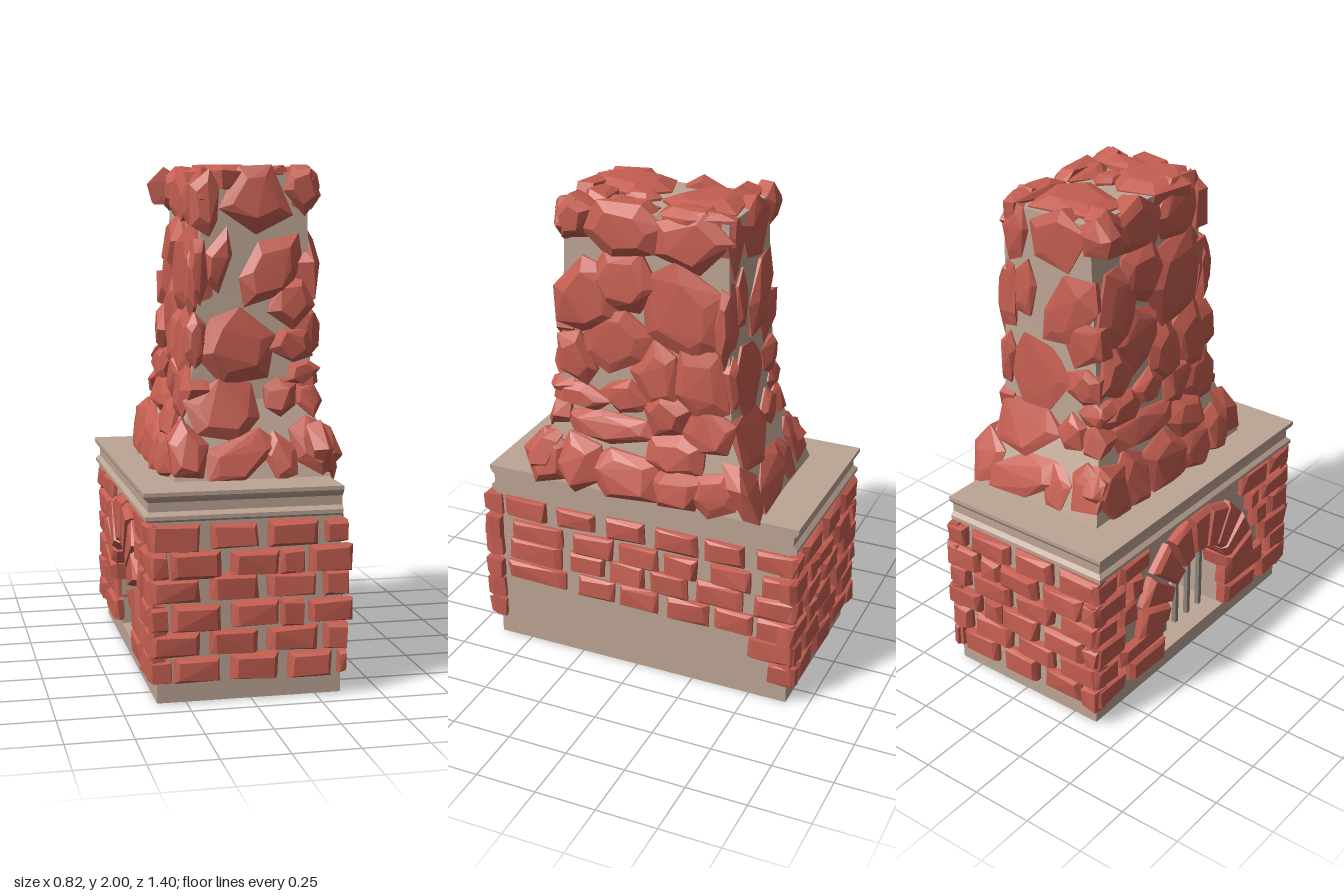
import * as THREE from 'three';
import { mergeGeometries } from 'three/addons/utils/BufferGeometryUtils.js';
import { ConvexGeometry } from 'three/addons/geometries/ConvexGeometry.js';

const mat = (color) => new THREE.MeshStandardMaterial({ color, flatShading: true });
const red = mat(0xc45e51), mortar = mat(0xbda594), iron = mat(0x8d857d);

let seed = 11;
const rnd = () => (seed = (seed * 16807) % 2147483647) / 2147483647;
const jit = (a) => (rnd() - 0.5) * 2 * a;

// Rectangular sections, bottom to top: [y, xMin, xMax, zMin, zMax]
const WALL = [[0, -0.36, 0.35, -0.66, 0.64], [0.7, -0.36, 0.35, -0.66, 0.64]];
const MANTEL = [[0.03, 0.69], [0.045, 0.7], [0.045, 0.715], [0.03, 0.73], [0.03, 0.765], [0.045, 0.78], [0.05, 0.79], [0.05, 0.805]]
  .map(([d, y]) => [y, -0.36 - d, 0.352, -0.64 - d, 0.612 + d]);
const STACK = [[0.8, -0.26, 0.36, -0.52, 0.46], [0.9, -0.235, 0.34, -0.485, 0.425], [1.1, -0.175, 0.305, -0.39, 0.35],
  [1.5, -0.14, 0.3, -0.37, 0.325], [1.96, -0.115, 0.295, -0.36, 0.305]];

// Solid through a stack of rectangular sections
function loft(rings) {
  const pos = [], idx = [];
  rings.forEach(([y, x0, x1, z0, z1]) => pos.push(x0, y, z1, x1, y, z1, x1, y, z0, x0, y, z0));
  for (let i = 0; i < rings.length - 1; i++)
    for (let k = 0; k < 4; k++) {
      const a = i * 4 + k, b = i * 4 + (k + 1) % 4;
      idx.push(a, b, b + 4, a, b + 4, a + 4);
    }
  const t = rings.length * 4 - 4;
  idx.push(0, 2, 1, 0, 3, 2, t, t + 1, t + 2, t, t + 2, t + 3);
  const g = new THREE.BufferGeometry();
  g.setAttribute('position', new THREE.Float32BufferAttribute(pos, 3));
  g.setIndex(idx);
  const flat = g.toNonIndexed();
  flat.computeVertexNormals();
  return flat;
}

// Where one side of a lofted body lies at height y
function sideAt(rings, col, y) {
  let i = 0;
  while (i < rings.length - 2 && y > rings[i + 1][0]) i++;
  const a = rings[i], b = rings[i + 1];
  const t = THREE.MathUtils.clamp((y - a[0]) / (b[0] - a[0]), 0, 1);
  return a[col] + (b[col] - a[col]) * t;
}

// Point at (u, y) on a face, raised by d
function onFace(rings, face, u, y, d) {
  switch (face) {
    case 'front': return new THREE.Vector3(u, y, sideAt(rings, 4, y) + d);
    case 'back': return new THREE.Vector3(u, y, sideAt(rings, 3, y) - d);
    case 'left': return new THREE.Vector3(sideAt(rings, 2, y) + d, y, u);
    case 'right': return new THREE.Vector3(sideAt(rings, 1, y) - d, y, u);
    default: return new THREE.Vector3(u, 1.96 + d, y);
  }
}

// Convex block from an outline; layers are [depth, scale]
function block(rings, face, outline, layers, wobble) {
  const cu = outline.reduce((s, p) => s + p[0], 0) / outline.length;
  const cy = outline.reduce((s, p) => s + p[1], 0) / outline.length;
  const pts = [];
  for (const [d, s] of layers)
    for (const [u, y] of outline) {
      const p = onFace(rings, face, cu + (u - cu) * s + jit(wobble), cy + (y - cy) * s + jit(wobble), d + jit(wobble));
      p.y = Math.min(p.y, 2);
      pts.push(p);
    }
  return new ConvexGeometry(pts);
}

function stone(face, [u, y, w, h, rot = 0], depth) {
  const n = 5 + Math.floor(rnd() * 2), out = [];
  const turn = rnd() * 6.28, c = Math.cos(rot), s = Math.sin(rot);
  for (let i = 0; i < n; i++) {
    const a = turn + (i + jit(0.2)) * 2 * Math.PI / n, r = 0.56 + jit(0.04);
    const p = Math.cos(a) * w * r, q = Math.sin(a) * h * r;
    out.push([u + p * c - q * s, y + p * s + q * c]);
  }
  return block(STACK, face, out, [[-0.06, 0.92], [depth * 0.25, 1], [depth, 0.6]], Math.min(0.01, w * 0.07));
}

function brick(face, u0, u1, y, depth) {
  const h = 0.047, y0 = y - h + jit(0.006), y1 = y + h + jit(0.006);
  return block(WALL, face, [[u0, y0], [u1, y0], [u1, y1], [u0, y1]],
    [[-0.03, 0.97], [depth * 0.45, 1], [depth, 0.8]], 0.006);
}

// Stones as [across, height, width, height, tilt]
const NARROW = [
  [0.1, 1.87, 0.27, 0.25], [-0.11, 1.86, 0.12, 0.24], [0.27, 1.91, 0.14, 0.18], [0.15, 1.6, 0.18, 0.33, -0.6],
  [-0.06, 1.63, 0.1, 0.24, -0.2], [-0.14, 1.6, 0.07, 0.25], [0.23, 1.48, 0.17, 0.2, -0.4], [0, 1.3, 0.28, 0.29],
  [0.23, 1.31, 0.17, 0.14], [-0.15, 1.33, 0.08, 0.2], [0.27, 1.2, 0.13, 0.09, 0.4], [0.18, 1.11, 0.14, 0.13],
  [0.29, 1.1, 0.1, 0.13], [-0.05, 1.07, 0.32, 0.22, 0.1], [0, 0.89, 0.32, 0.16, 0.35], [-0.2, 0.91, 0.15, 0.23],
  [0.16, 0.89, 0.13, 0.17], [0.3, 0.92, 0.17, 0.2, 0.4]];
const WIDE = [
  [0.26, 1.91, 0.14, 0.18], [0.06, 1.89, 0.32, 0.22], [-0.22, 1.88, 0.3, 0.24], [0.21, 1.6, 0.26, 0.32, 0.3],
  [0.06, 1.69, 0.27, 0.24], [-0.18, 1.6, 0.36, 0.38], [-0.35, 1.56, 0.06, 0.3], [0.27, 1.34, 0.18, 0.22],
  [0.1, 1.44, 0.3, 0.24, -0.4], [-0.08, 1.32, 0.2, 0.27], [-0.26, 1.32, 0.25, 0.3], [0.25, 1.18, 0.25, 0.13],
  [-0.13, 1.18, 0.2, 0.2], [-0.3, 1.13, 0.22, 0.2], [0.06, 1.21, 0.2, 0.14], [0.12, 1.07, 0.4, 0.13],
  [0.39, 0.9, 0.21, 0.22], [0.24, 0.9, 0.2, 0.25], [0.03, 0.89, 0.34, 0.23], [-0.17, 1.01, 0.25, 0.18],
  [-0.18, 0.88, 0.22, 0.22], [-0.34, 0.88, 0.21, 0.18]];
const CROWN = [
  [0.08, -0.2, 0.34, 0.34], [-0.02, 0.15, 0.28, 0.34], [0.26, -0.22, 0.12, 0.32], [0.12, 0.06, 0.1, 0.15],
  [0.24, 0.06, 0.15, 0.2], [0.16, 0.22, 0.18, 0.12]];

// Brick courses, top to bottom, as pairs of ends
const ROW_Y = [0.635, 0.53, 0.435, 0.33, 0.23, 0.13];
const EVEN = [-0.39, -0.2, -0.16, 0.02, 0.06, 0.25, 0.28, 0.37];
const ODD = [-0.39, -0.32, -0.31, -0.12, -0.08, 0.1, 0.11, 0.2, 0.22, 0.39];
const LAST = [-0.39, -0.31, -0.3, -0.12, -0.08, 0.1, 0.14, 0.31, 0.335, 0.365];
const END_ROWS = [EVEN, ODD, EVEN, ODD, EVEN, LAST];
const LONG_ROWS = [
  [0.4, 0.59, 0.18, 0.35, -0.04, 0.13, -0.27, -0.09, -0.47, -0.31, -0.69, -0.52],
  [0.33, 0.56, 0.1, 0.28, -0.1, 0.07, -0.27, -0.13, -0.5, -0.33, -0.69, -0.55],
  [0.34, 0.58, 0.14, 0.3, -0.04, 0.11, -0.23, -0.07, -0.47, -0.27, -0.69, -0.52],
  [0.32, 0.59, 0.1, 0.26, -0.1, 0.07, -0.32, -0.14, -0.51, -0.35, -0.69, -0.53],
  [-0.69, -0.5], [-0.69, -0.58]];

export function createModel() {
  const model = new THREE.Group();
  const add = (name, geo, material) => {
    const m = new THREE.Mesh(geo, material);
    m.name = name;
    model.add(m);
  };

  // Firebox: solid rear half and an arched opening in the half facing -x
  const R = 0.23, SPRING = 0.26, FLOOR = 0.07;
  add('fireboxRear', loft(WALL.map(([y, , x1, z0, z1]) => [y, 0, x1, z0, z1])), mortar);
  const wall = new THREE.Shape();
  wall.moveTo(-0.66, 0).lineTo(0.64, 0).lineTo(0.64, 0.7).lineTo(-0.66, 0.7).closePath();
  const hole = new THREE.Path();
  hole.moveTo(-R, FLOOR).lineTo(-R, SPRING).absarc(0, SPRING, R, Math.PI, 0, true).lineTo(R, FLOOR).closePath();
  wall.holes.push(hole);
  add('archedWall', new THREE.ExtrudeGeometry(wall, { depth: 0.36, bevelEnabled: false, curveSegments: 10 }).rotateY(-Math.PI / 2), mortar);
  add('mantel', loft(MANTEL), mortar);
  add('chimneyCore', loft(STACK), mortar);

  // Brick courses on the two ends and the plain long side
  const courses = (face, rows, depth) => mergeGeometries(rows.flatMap((row, r) => {
    const out = [];
    for (let i = 0; i < row.length; i += 2) out.push(brick(face, row[i], row[i + 1], ROW_Y[r], depth));
    return out;
  }));
  add('frontBricks', courses('front', END_ROWS, 0.05), red);
  add('backBricks', courses('back', END_ROWS, 0.038), red);
  add('plainSideBricks', courses('left', LONG_ROWS, 0.024), red);

  // Bricks flanking the arch
  const flank = ROW_Y.flatMap((y, r) => {
    const inner = [0.33, 0.38, 0.42, 0.43, 0.22, 0.22][r], split = r % 2 ? 0.47 : 0.53;
    return [-1, 1].flatMap((s) => [[inner, split - 0.015], [split + 0.015, 0.68]]
      .filter(([a, b]) => b - a > 0.04)
      .map(([a, b]) => brick('right', s * a - 0.01, s * b - 0.01, y, 0.036)));
  });
  add('archSideBricks', mergeGeometries(flank), red);

  // Wedge stones around the arch
  const wedges = [], N = 9;
  for (let i = 0; i < N; i++) {
    const a0 = (i + 0.06) * Math.PI / N, a1 = (i + 0.94) * Math.PI / N;
    const outer = 0.415 + jit(0.012);
    const out = [[R - 0.01, a0], [outer, a0], [outer, a1], [R - 0.01, a1]]
      .map(([r, a]) => [Math.cos(a) * r, SPRING + Math.sin(a) * r]);
    wedges.push(block(WALL, 'right', out, [[-0.1, 1], [0.025, 1], [0.045, 0.84]], 0.004));
  }
  add('archStones', mergeGeometries(wedges), red);

  // Fire grate
  const bars = [];
  for (let i = -2; i <= 2; i++) {
    const h = SPRING + Math.sqrt(R * R - (i * 0.085) ** 2) - FLOOR;
    bars.push(new THREE.BoxGeometry(0.02, h, 0.02).translate(-0.27, FLOOR + h / 2, i * 0.085));
  }
  add('grateBars', mergeGeometries(bars), iron);

  // Rough stones on each side of the chimney and its crown
  const cover = (face, list, depth) => mergeGeometries(list.map((s) => stone(face, s, depth + jit(0.008))));
  add('frontStones', cover('front', NARROW, 0.035), red);
  add('backStones', cover('back', NARROW.map(([x, y, w, h, tilt = 0]) => [0.13 - x, y, w, h, -tilt]), 0.02), red);
  add('plainSideStones', cover('left', WIDE, 0.042), red);
  add('archSideStones', cover('right', WIDE.map(([z, y, w, h, tilt = 0]) => [-0.03 - 0.94 * z, y, w, h, -tilt]), 0.04), red);
  add('crownStones', cover('top', CROWN, 0.03), red);
  return model;
}
